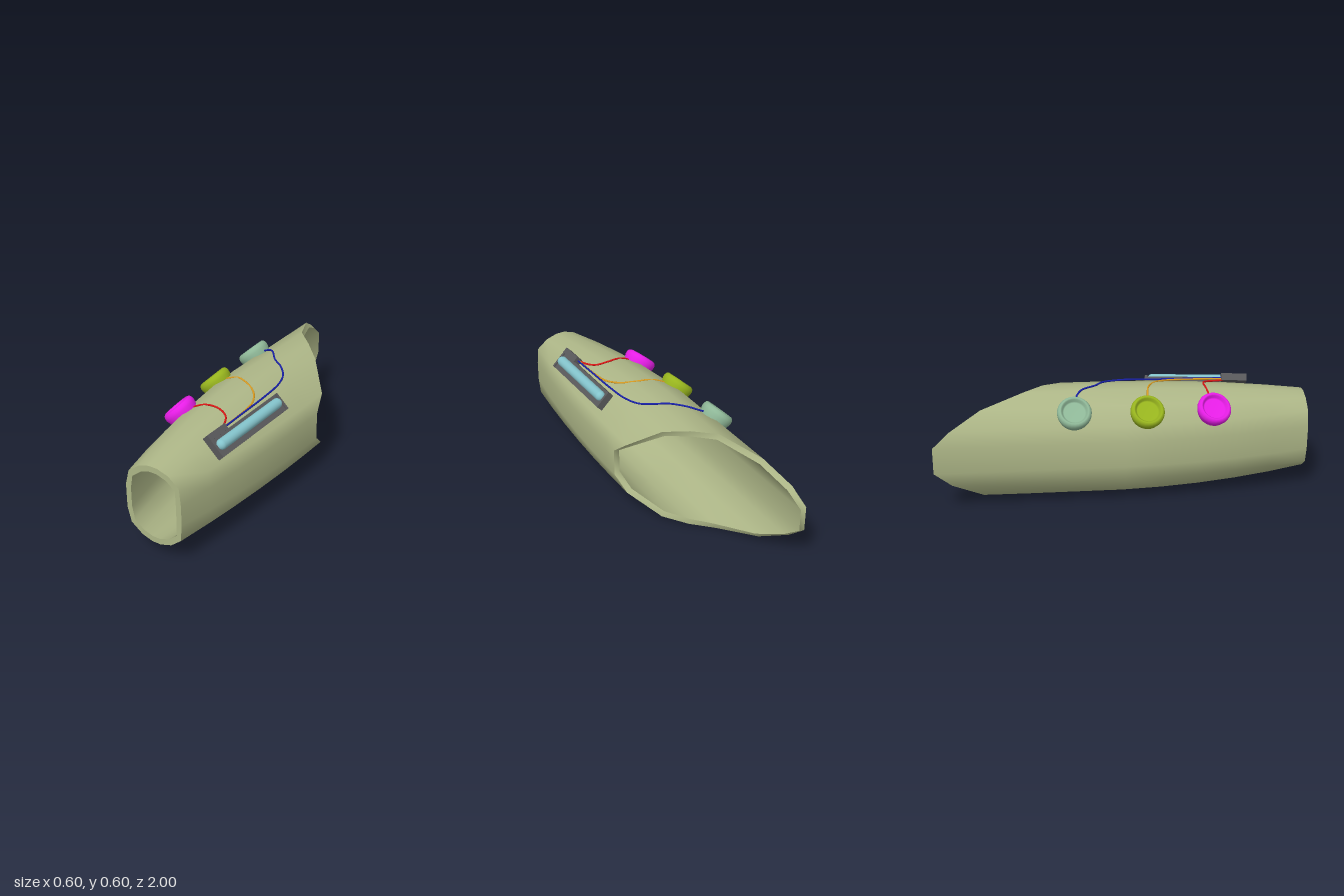
import * as THREE from 'three';

const V = (x, y, z) => new THREE.Vector3(x, y, z);
const mat = (color, opts = {}) => {
  const m = new THREE.MeshStandardMaterial({ color, ...opts });
  return m;
};
const mesh = (name, geo, material) => {
  const m = new THREE.Mesh(geo, material);
  m.name = name;
  return m;
};

// Skin closed rings of points; outward faces when rings run from +z to -z
function loft(rings) {
  const n = rings[0].length, pos = [], idx = [];
  rings.forEach(r => r.forEach(p => pos.push(p.x, p.y, p.z)));
  for (let k = 0; k < rings.length - 1; k++) {
    for (let i = 0; i < n; i++) {
      const a = k * n + i, b = k * n + (i + 1) % n;
      idx.push(a, a + n, b, b, a + n, b + n);
    }
  }
  const g = new THREE.BufferGeometry();
  g.setAttribute('position', new THREE.Float32BufferAttribute(pos, 3));
  g.setIndex(idx);
  g.computeVertexNormals();
  return g;
}

// Tapered hollow sleeve with a slanted rear opening
function makeSleeve() {
  const midY = 0.295;
  // Upper half outlines: narrow front end, wide rear end with its cut depth z
  const front = [[0.214, 0.35], [0.205, 0.442], [0.145, 0.49], [0.08, 0.51],
    [0.03, 0.51], [-0.03, 0.491], [-0.095, 0.442], [-0.116, 0.36]];
  const rear = [[0.3, 0.37, -0.09], [0.275, 0.445, -0.18], [0.145, 0.56, -0.32], [0.04, 0.585, -0.42],
    [-0.065, 0.588, -0.52], [-0.175, 0.535, -0.75], [-0.24, 0.445, -0.91], [-0.264, 0.365, -1]];
  const mirror = half => half.concat([...half].reverse().map(([x, y, z]) => [x, 2 * midY - y, z]));
  const F = mirror(front), R = mirror(rear);

  const ring = (z, inset) => F.map((f, i) => {
    const zz = z === null ? R[i][2] : z;
    const w = 1 - Math.max(0, (zz + 0.1) / 1.1) ** 2;
    const x = f[0] + (R[i][0] - f[0]) * w, y = f[1] + (R[i][1] - f[1]) * w;
    const cx = 0.05 - 0.035 * w;
    const s = 1 - inset / Math.hypot(x - cx, y - midY);
    return V(cx + (x - cx) * s, midY + (y - midY) * s, zz);
  });
  const stations = [1, 0.8, 0.6, 0.4, 0.2, 0, null];
  const outer = stations.map(z => ring(z, 0));
  const inner = stations.map(z => ring(z, 0.032));
  const last = stations.length - 1;

  const g = new THREE.Group();
  g.name = 'sleeve';
  const m = mat(0xadb687);
  g.add(mesh('sleeveOuter', loft(outer), m),
    mesh('sleeveInner', loft([...inner].reverse()), m),
    mesh('frontRim', loft([inner[0], outer[0]]), m),
    mesh('rearRim', loft([outer[last], inner[last]]), m));
  return g;
}

// Round pod with a rounded lip and a recessed face
function makePod(name, pos, axis, color) {
  const profile = [[0, -0.04], [0.072, -0.04], [0.082, -0.025], [0.09, 0.005], [0.09, 0.02],
    [0.084, 0.034], [0.074, 0.04], [0.066, 0.036], [0.062, 0.022], [0.055, 0.018], [0, 0.018]];
  const geo = new THREE.LatheGeometry(profile.map(p => new THREE.Vector2(...p)), 28);
  const m = mesh(name, geo, mat(color));
  m.position.copy(pos);
  m.quaternion.setFromUnitVectors(V(0, 1, 0), axis.normalize());
  return m;
}

// Cradle with a tube lying along it; local y points away from the sleeve
function makeCradle() {
  const g = new THREE.Group();
  g.name = 'cradle';
  const zAxis = V(-0.015, -0.018, 0.53).normalize();
  const yAxis = V(0.69, 0.72, 0);
  const xAxis = yAxis.clone().cross(zAxis).normalize();
  yAxis.crossVectors(zAxis, xAxis);
  g.quaternion.setFromRotationMatrix(new THREE.Matrix4().makeBasis(xAxis, yAxis, zAxis));
  g.position.set(0.186, 0.509, 0.425);

  const dark = mat(0x58585a);
  const box = (name, w, h, d, x, y, z) => {
    const b = mesh(name, new THREE.BoxGeometry(w, h, d), dark);
    b.position.set(x, y, z);
    g.add(b);
  };
  box('cradlePlate', 0.1, 0.032, 0.56, 0.016, 0.016, 0);
  box('wireBlock', 0.034, 0.042, 0.14, -0.048, 0.021, 0.21);
  for (const s of [-1, 1]) box('cradleEnd', 0.1, 0.04, 0.014, 0.016, 0.02, s * 0.273);

  const tube = mesh('tube', new THREE.CapsuleGeometry(0.028, 0.47, 8, 20), mat(0x84c4cc));
  tube.rotation.x = Math.PI / 2;
  tube.position.set(0.01, 0.036, 0);
  g.add(tube);
  return g;
}

function makeWire(name, pts, color) {
  const curve = new THREE.CatmullRomCurve3(pts.map(p => V(...p)));
  return mesh(name, new THREE.TubeGeometry(curve, 48, 0.005, 8), mat(color));
}

export function createModel() {
  const model = new THREE.Group();
  model.name = 'armSleeve';
  model.add(makeSleeve(), makeCradle());

  // Three pods along the upper right side
  model.add(
    makePod('frontPod', V(-0.177, 0.497, 0.47), V(-0.68, 0.73, 0.14), 0xe81ee8),
    makePod('middlePod', V(-0.208, 0.505, 0.115), V(-0.69, 0.72, 0.07), 0x98b51e),
    makePod('rearPod', V(-0.215, 0.514, -0.265), V(-0.69, 0.72, 0.02), 0x8fb898));

  // Wires from the pods to the cradle
  model.add(
    makeWire('frontWire', [[-0.12, 0.525, 0.46], [-0.085, 0.55, 0.458], [-0.03, 0.57, 0.45], [0.04, 0.57, 0.447],
      [0.1, 0.557, 0.47], [0.135, 0.547, 0.53], [0.148, 0.545, 0.59]], 0xd81414),
    makeWire('middleWire', [[-0.15, 0.54, 0.12], [-0.11, 0.562, 0.128], [-0.05, 0.583, 0.135], [0.02, 0.581, 0.16],
      [0.09, 0.57, 0.205], [0.138, 0.559, 0.285], [0.152, 0.554, 0.4], [0.154, 0.55, 0.59]], 0xd89a20),
    makeWire('rearWire', [[-0.16, 0.55, -0.258], [-0.12, 0.571, -0.25], [-0.07, 0.591, -0.22], [0, 0.59, -0.14],
      [0.06, 0.585, -0.1], [0.115, 0.573, -0.04], [0.146, 0.566, 0.05], [0.155, 0.559, 0.2],
      [0.158, 0.556, 0.4], [0.16, 0.552, 0.59]], 0x1820a8));
  return model;
}
